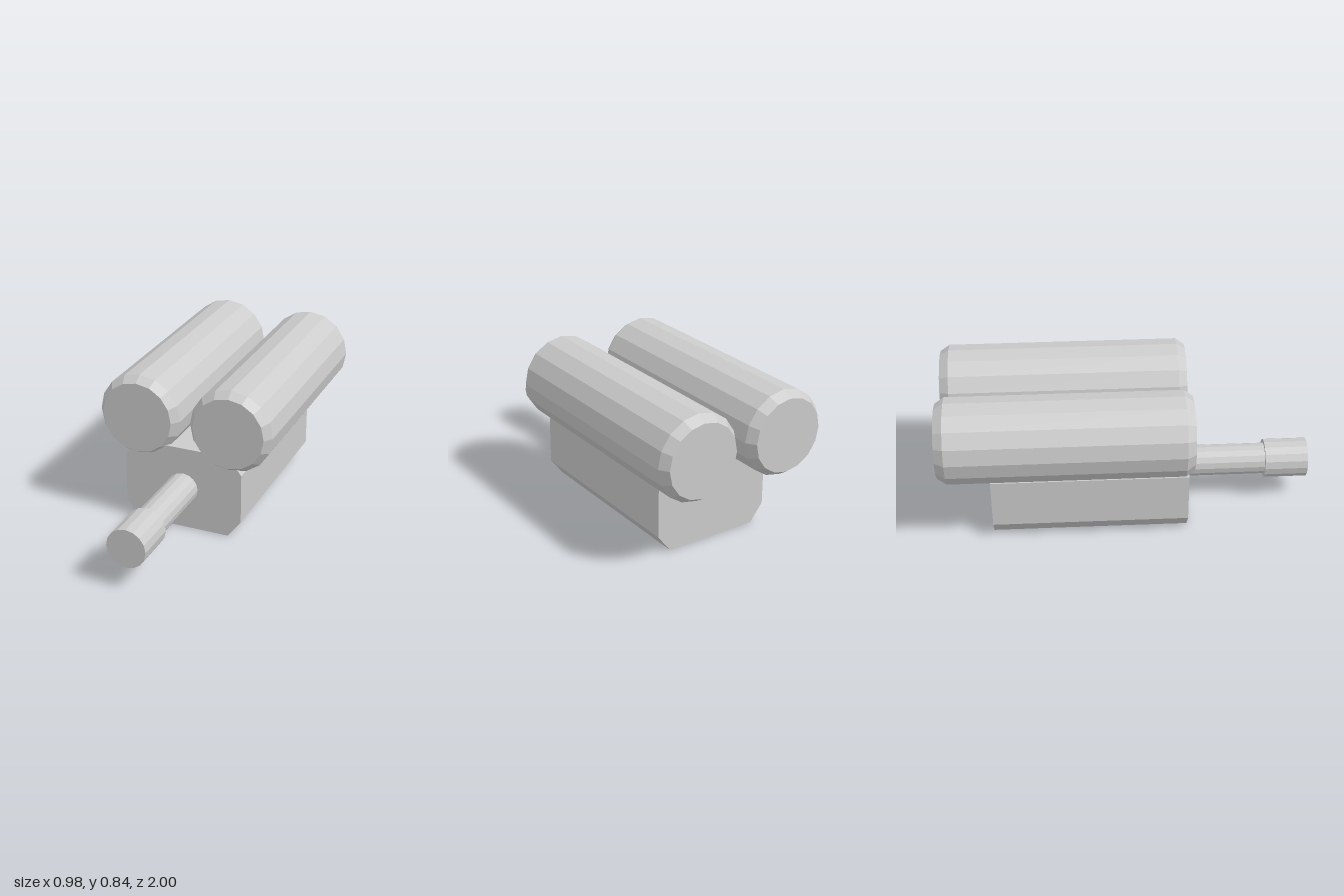
import * as THREE from 'three';

const material = new THREE.MeshStandardMaterial({ color: 0xcccccc, flatShading: true });

// Closed turned solid along z; profile is [radius, z] from back to front
function turned(name, profile, x, y, sides = 16) {
  const points = profile.map(([r, z]) => new THREE.Vector2(r, z));
  const geometry = new THREE.LatheGeometry(points, sides).rotateX(Math.PI / 2);
  const mesh = new THREE.Mesh(geometry, material);
  mesh.name = name;
  mesh.position.set(x, y, 0);
  return mesh;
}

export function createModel() {
  const group = new THREE.Group();
  group.name = 'twinCylinderUnit';
  const cx = -0.005, cy = 0.236;

  // Body: chamfered block extruded along z
  const w = 0.333, cut = 0.26, h = 0.469, low = 0.096;
  const outline = [
    [-cut, 0], [cut, 0], [w, low], [w, h - low],
    [cut, h], [-cut, h], [-w, h - low], [-w, low],
  ].map(([x, y]) => new THREE.Vector2(x, y));
  const body = new THREE.Mesh(
    new THREE.ExtrudeGeometry(new THREE.Shape(outline), { depth: 1.053, bevelEnabled: false }),
    material
  );
  body.name = 'body';
  body.position.set(cx, 0, -0.735);
  group.add(body);

  // Pair of long cylinders with bevelled ends
  const tank = [[0, -1], [0.197, -1], [0.23, -0.95], [0.23, 0.29], [0.197, 0.337], [0, 0.337]];
  group.add(turned('leftCylinder', tank, 0.257, 0.607));
  group.add(turned('rightCylinder', tank, -0.26, 0.607));

  // Barrel and its wider muzzle
  group.add(turned('barrel', [[0, 0.2], [0.086, 0.2], [0.086, 0.8], [0, 0.8]], cx, cy));
  group.add(turned('muzzle', [[0, 0.765], [0.107, 0.765], [0.107, 1], [0, 1]], cx, cy));

  return group;
}
